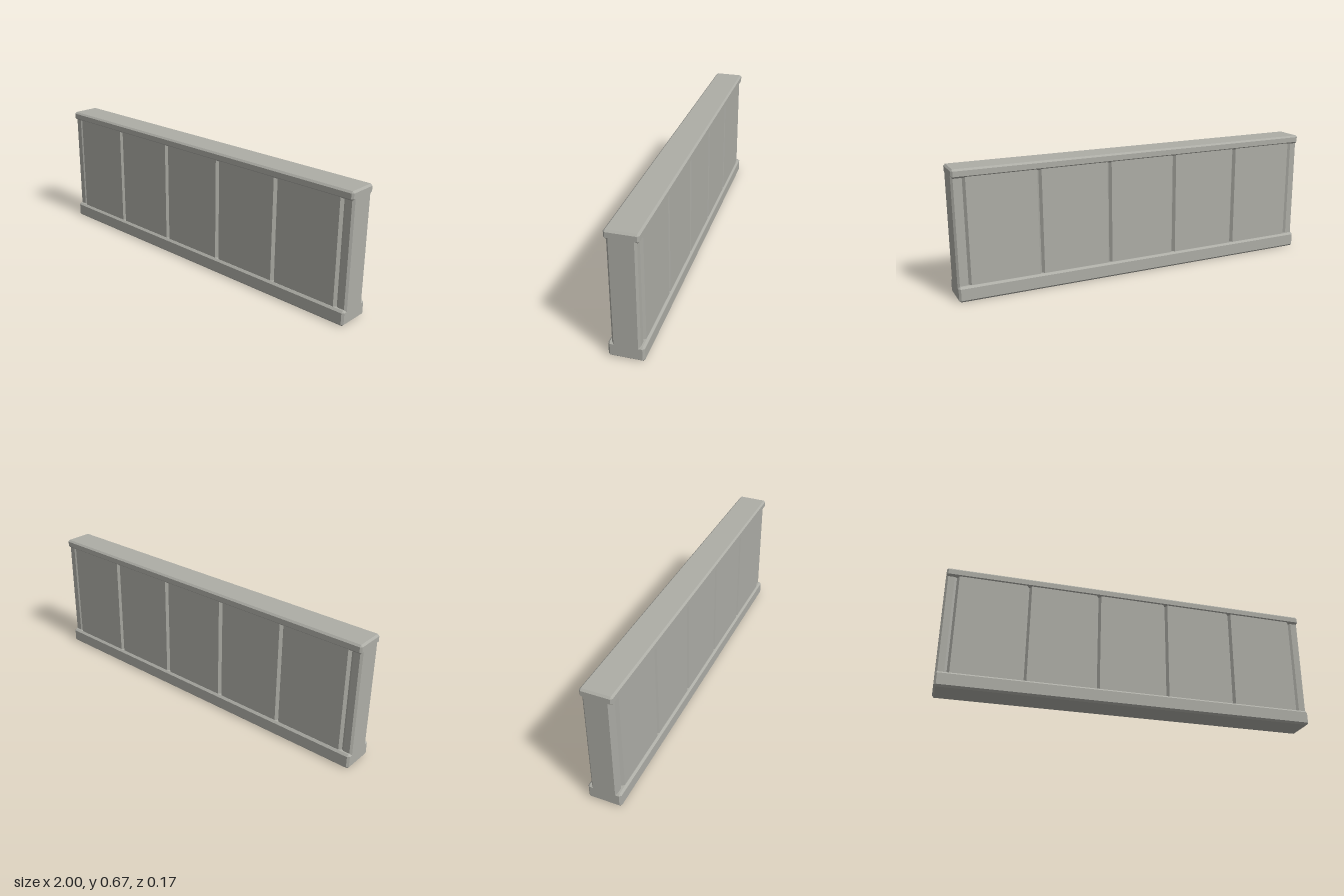
import * as THREE from 'three';
import { ConvexGeometry } from 'three/addons/geometries/ConvexGeometry.js';

// Box with every edge cut by a flat chamfer c
function chamferBox(w, h, d, c) {
  const pts = [];
  for (const sx of [-1, 1]) for (const sy of [-1, 1]) for (const sz of [-1, 1]) {
    const x = w / 2, y = h / 2, z = d / 2;
    pts.push(
      new THREE.Vector3(sx * x, sy * (y - c), sz * (z - c)),
      new THREE.Vector3(sx * (x - c), sy * y, sz * (z - c)),
      new THREE.Vector3(sx * (x - c), sy * (y - c), sz * z));
  }
  return new ConvexGeometry(pts);
}

export function createModel() {
  const group = new THREE.Group();
  const stone = new THREE.MeshStandardMaterial({ color: 0xadada6 });
  stone.name = 'grey stone';

  const add = (name, geometry, y) => {
    const mesh = new THREE.Mesh(geometry, stone);
    mesh.name = name;
    mesh.position.y = y;
    group.add(mesh);
  };

  // Front edge of the wall plan, left to right: end strip, then five panels parted by V grooves
  const face = 0.075, bottom = 0.06, half = 0.012, pitch = 0.378;
  const front = [[-1, 0.058], [-0.99, 0.068]];
  for (let i = 0; i < 6; i++) {
    const x = (i - 2.5) * pitch;
    front.push([x - half, i === 0 ? 0.068 : face], [x, bottom], [x + half, i === 5 ? 0.068 : face]);
  }
  front.push([0.99, 0.068], [1, 0.058]);

  // The back repeats the front
  const plan = [...front, ...front.map(([x, z]) => [-x, -z])];
  const shape = new THREE.Shape(plan.map(([x, z]) => new THREE.Vector2(x, z)));
  const wall = new THREE.ExtrudeGeometry(shape, { depth: 0.58, bevelEnabled: false });
  wall.rotateX(-Math.PI / 2);
  add('panelledWall', wall, 0.065);

  // Plinth and coping
  add('basePlinth', chamferBox(2, 0.08, 0.174, 0.01), 0.04);
  add('topCoping', chamferBox(2, 0.045, 0.16, 0.009), 0.6425);

  return group;
}
